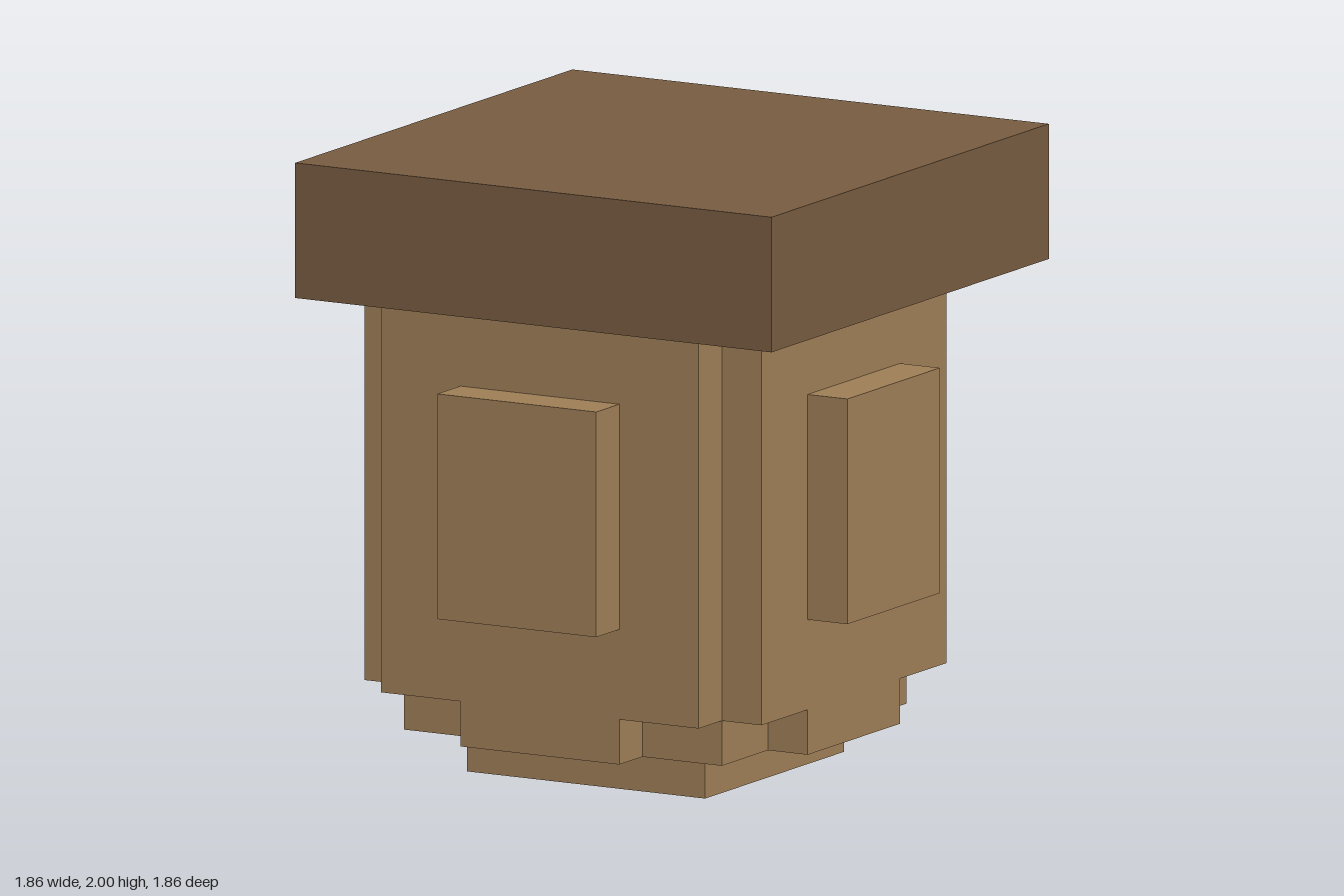
import * as THREE from 'three';

const U = 1 / 7; // one block unit

export function createModel() {
  const model = new THREE.Group();
  model.name = 'blockPillar';

  const tan = new THREE.MeshStandardMaterial({ color: 0x9e7e56 });
  tan.name = 'tan';
  const brown = new THREE.MeshStandardMaterial({ color: 0x775b40 });
  brown.name = 'brown';

  // Box given in block units, standing on height y
  const block = (name, parent, material, w, h, d, x, y, z) => {
    const mesh = new THREE.Mesh(new THREE.BoxGeometry(w * U, h * U, d * U), material);
    mesh.name = name;
    mesh.position.set(x * U, (y + h / 2) * U, z * U);
    parent.add(mesh);
  };

  // Overhanging cap, offset from the body towards +x and +z
  block('cap', model, brown, 12, 3, 12, 0.5, 11, 0.5);

  // Body group carries the off-centre axis of the pillar
  const body = new THREE.Group();
  body.name = 'body';
  body.position.set(-0.5 * U, 0, -0.5 * U);
  model.add(body);
  block('foot', body, tan, 6, 1, 6, 0, 0, 0);
  block('core', body, tan, 8, 10, 8, 0, 1, 0);

  // Wall slab: full width above, stepped in at the bottom corners
  const outline = [[-2, 1], [2, 1], [2, 2], [4, 2], [4, 11], [-4, 11], [-4, 2], [-2, 2]];
  const shape = new THREE.Shape(outline.map(([x, y]) => new THREE.Vector2(x * U, y * U)));
  const wallGeometry = new THREE.ExtrudeGeometry(shape, { depth: U, bevelEnabled: false });

  // The same wall and raised panel on all four sides
  ['front', 'left', 'back', 'right'].forEach((name, i) => {
    const side = new THREE.Group();
    side.name = name + 'Side';
    side.rotation.y = (i * Math.PI) / 2;
    body.add(side);

    const wall = new THREE.Mesh(wallGeometry, tan);
    wall.name = name + 'Wall';
    wall.position.z = 4 * U;
    side.add(wall);
    block(name + 'Panel', side, tan, 4, 5, 1, 0, 4, 5.5);
  });

  return model;
}
